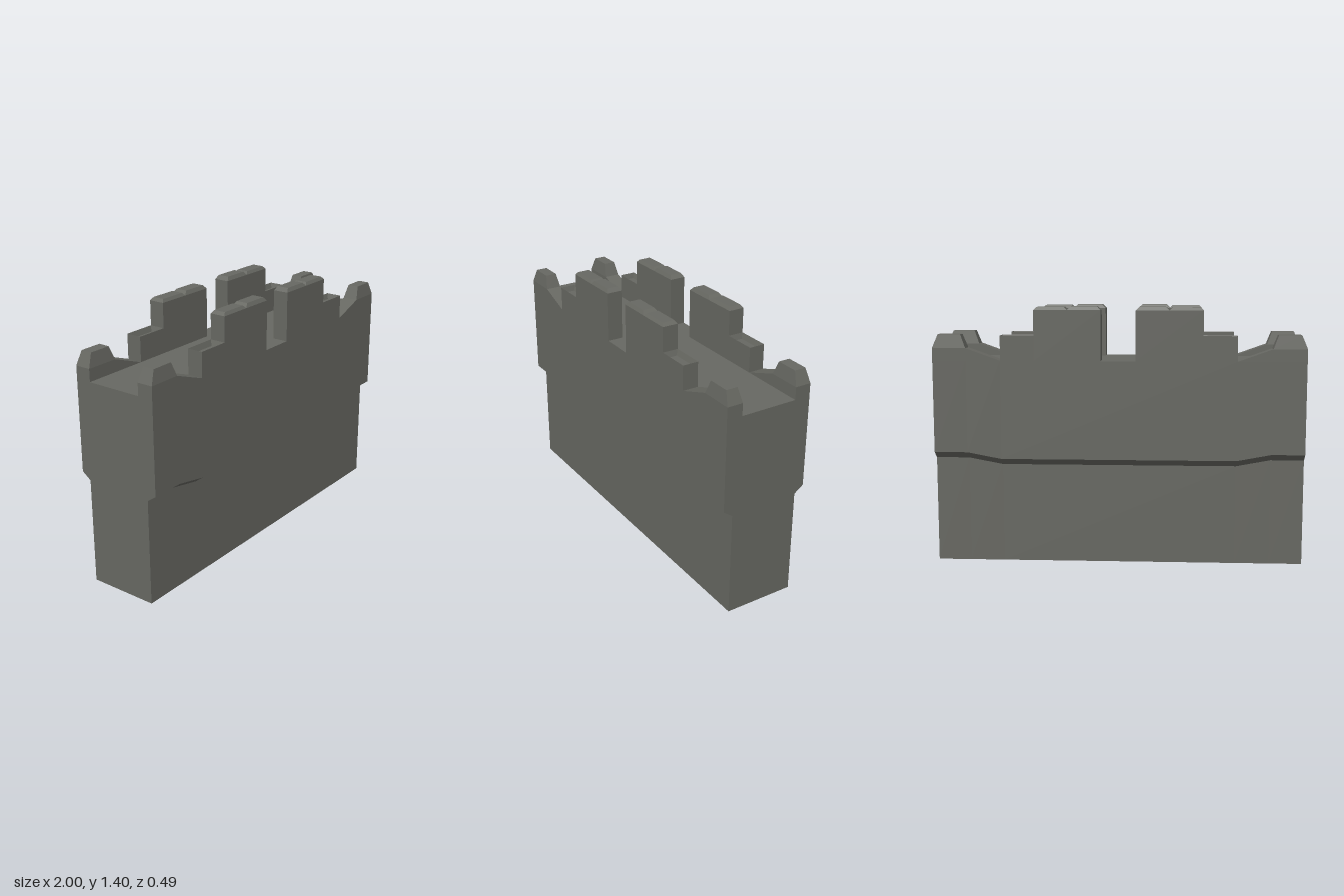
import * as THREE from 'three';

const FLOOR = 1.11;   // walkway height
const OUT = 0.243;    // outer face of the upper wall
const IN = 0.156;     // inner face of the parapet
const BASE = 0.192;   // face of the lower wall

// Collects quads into a flat-shaded geometry.
function quadGeometry(quads) {
  const pos = [];
  for (const [a, b, c, d] of quads) pos.push(...a, ...b, ...c, ...a, ...c, ...d);
  const geo = new THREE.BufferGeometry();
  geo.setAttribute('position', new THREE.Float32BufferAttribute(pos, 3));
  geo.computeVertexNormals();
  return geo;
}

// Stacks rectangular rings [x0, x1, zBack, zFront, y] and closes the last one.
function stack(rings) {
  const loops = rings.map(([x0, x1, zb, zf, y]) => [[x0, y, zf], [x1, y, zf], [x1, y, zb], [x0, y, zb]]);
  const quads = [];
  for (let i = 0; i < loops.length - 1; i++) {
    const a = loops[i], b = loops[i + 1];
    for (let k = 0; k < 4; k++) {
      const n = (k + 1) % 4;
      quads.push([a[k], a[n], b[n], b[k]]);
    }
  }
  quads.push(loops[loops.length - 1]);
  return quadGeometry(quads);
}

// Main wall: hollow, open below, with a flared ledge that rises at both ends.
function wallGeometry() {
  const stations = [[-1, 0.575], [-0.82, 0.575], [-0.635, 0.54], [0.635, 0.54], [0.82, 0.575], [1, 0.575]];
  const sections = stations.map(([x, y]) => {
    const half = [[0, BASE], [y, BASE], [y + 0.037, OUT], [FLOOR, OUT]];
    return [
      ...half.map(([h, z]) => [x, h, z]),
      ...half.slice().reverse().map(([h, z]) => [x, h, -z]),
    ];
  });
  const quads = [];
  for (let i = 0; i < sections.length - 1; i++) {
    const a = sections[i], b = sections[i + 1];
    for (let j = 0; j < 7; j++) quads.push([a[j], b[j], b[j + 1], a[j + 1]]);
  }
  const l = sections[0], r = sections[sections.length - 1];
  for (let j = 0; j < 3; j++) {
    quads.push([r[j], r[7 - j], r[6 - j], r[j + 1]]);
    quads.push([l[7 - j], l[j], l[j + 1], l[6 - j]]);
  }
  return quadGeometry(quads);
}

export function createModel() {
  const stone = new THREE.MeshStandardMaterial({ color: 0x676862, side: THREE.DoubleSide });
  stone.name = 'greyStone';

  const model = new THREE.Group();
  model.name = 'castleWall';

  const wall = new THREE.Mesh(wallGeometry(), stone);
  wall.name = 'wall';
  model.add(wall);

  // Parapet parts, for x > 0 and z > 0: rings of [x0, x1, side inset, y]
  const parts = {
    merlon: [[0.093, 0.452, 0, FLOOR], [0.093, 0.452, 0, 1.38]],
    innerCap: [[0.093, 0.272, 0, 1.38], [0.113, 0.252, 0.011, 1.4]],
    outerCap: [[0.272, 0.452, 0, 1.38], [0.288, 0.436, 0.011, 1.396]],
    // low step with a shallow sunken top
    step: [[0.452, 0.633, 0, FLOOR], [0.452, 0.633, 0, 1.245], [0.462, 0.623, 0.011, 1.215]],
    // end post with a ramp towards the step
    endPost: [[0.633, 1, 0, FLOOR], [0.82, 1, 0, 1.177], [0.848, 0.97, 0.012, 1.25]],
  };

  for (const sz of [1, -1]) {
    const parapet = new THREE.Group();
    parapet.name = sz > 0 ? 'frontParapet' : 'backParapet';
    for (const sx of [1, -1]) {
      for (const [name, rings] of Object.entries(parts)) {
        const placed = rings.map(([x0, x1, inset, y]) => {
          const xs = sx > 0 ? [x0, x1] : [-x1, -x0];
          const zs = sz > 0 ? [IN + inset, OUT - inset] : [inset - OUT, -IN - inset];
          return [...xs, ...zs, y];
        });
        const mesh = new THREE.Mesh(stack(placed), stone);
        mesh.name = (sx > 0 ? 'left ' : 'right ') + name;
        parapet.add(mesh);
      }
    }
    model.add(parapet);
  }
  return model;
}
